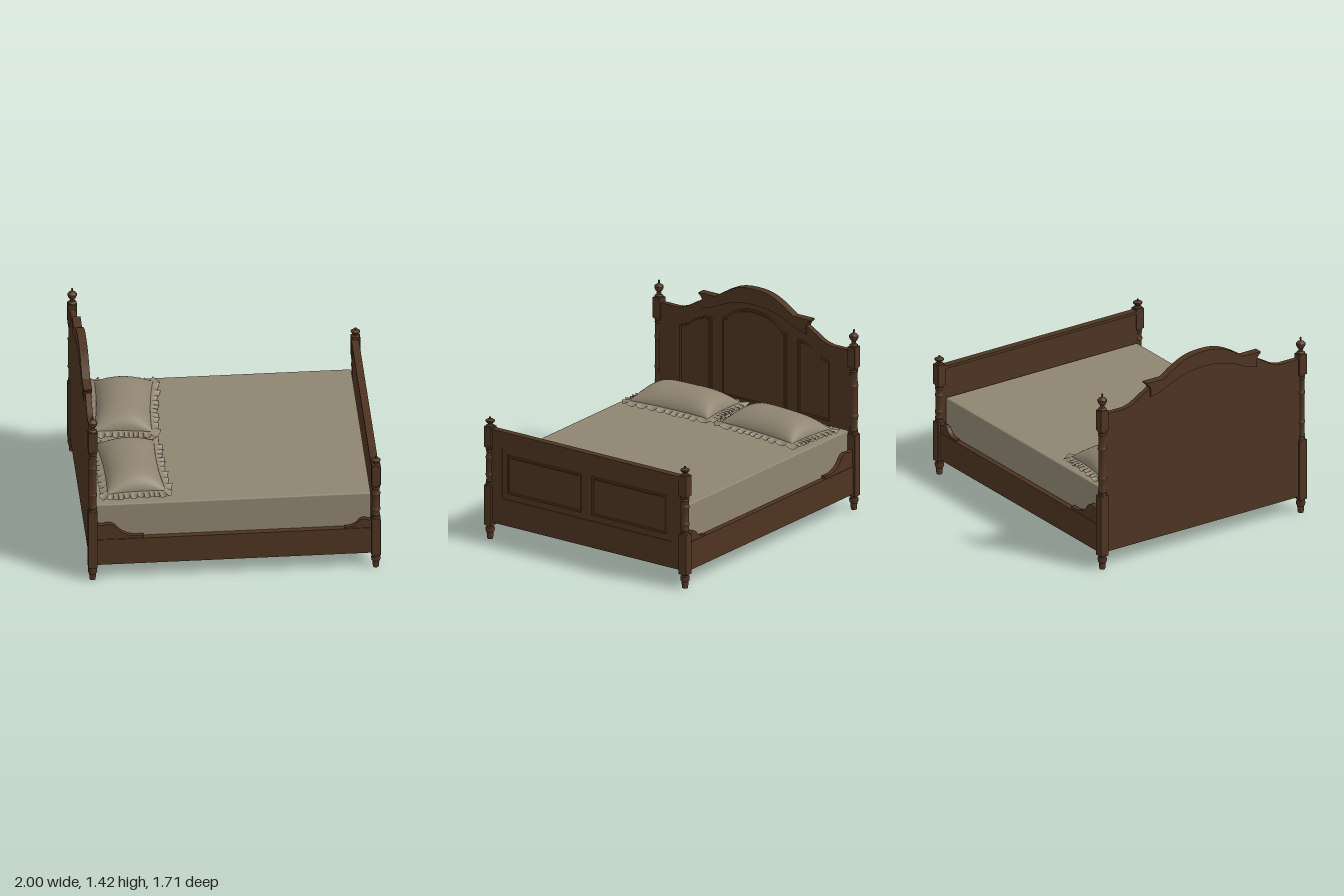
import * as THREE from 'three';
import { toCreasedNormals } from 'three/addons/utils/BufferGeometryUtils.js';
import { RoundedBoxGeometry } from 'three/addons/geometries/RoundedBoxGeometry.js';

export function createModel() {
  const model = new THREE.Group();
  model.name = 'bed';
  const wood = new THREE.MeshStandardMaterial({ color: 0x4e3421 });
  wood.name = 'dark wood';
  const linen = new THREE.MeshStandardMaterial({ color: 0x8f8471, side: THREE.DoubleSide });
  linen.name = 'linen';

  const add = (name, geo, mat, parent = model) => {
    const mesh = new THREE.Mesh(geo, mat);
    mesh.name = name;
    parent.add(mesh);
    return mesh;
  };
  const box = (name, x0, x1, y0, y1, z0, z1) =>
    add(name, new THREE.BoxGeometry(x1 - x0, y1 - y0, z1 - z0)
      .translate((x0 + x1) / 2, (y0 + y1) / 2, (z0 + z1) / 2), wood);
  const toShape = pts => new THREE.Shape(pts.map(p => new THREE.Vector2(p[0], p[1])));
  const extrude = (shape, depth) => toCreasedNormals(
    new THREE.ExtrudeGeometry(shape, { depth, bevelEnabled: false }), 0.5);
  // board drawn in the (z, y) plane, reaching from x0 to x1
  const board = (name, shape, x0, x1) =>
    add(name, extrude(shape, x1 - x0).rotateY(Math.PI / 2).translate(x0, 0, 0), wood);
  const smooth = (pts, n) => new THREE.CatmullRomCurve3(pts.map(p => new THREE.Vector3(p[0], p[1], 0)))
    .getPoints(n).map(p => [p.x, p.y]);
  const mirror = pts => [...pts, ...pts.map(p => [-p[0], p[1]]).reverse()];
  const inset = (pts, m) => {
    const b = new THREE.Box2().setFromPoints(pts.map(p => new THREE.Vector2(p[0], p[1])));
    const c = b.getCenter(new THREE.Vector2()), s = b.getSize(new THREE.Vector2());
    return pts.map(p => [c.x + (p[0] - c.x) * (1 - 2 * m / s.x), c.y + (p[1] - c.y) * (1 - 2 * m / s.y)]);
  };
  const ring = (outer, inner) => {
    const s = toShape(outer);
    s.holes.push(toShape(inner));
    return s;
  };
  // moulded frame with a slightly raised field
  const panel = (name, pts, x) => {
    board(name + 'Moulding', ring(pts, inset(pts, 0.014)), x, x + 0.01);
    board(name + 'Field', toShape(inset(pts, 0.02)), x, x + 0.005);
  };

  // Headboard
  const shoulder = smooth([[-0.65, 1.15], [-0.59, 1.165], [-0.52, 1.205], [-0.44, 1.25]], 12);
  const ear = [[-0.45, 1.27], [-0.47, 1.285], [-0.47, 1.297], [-0.33, 1.297]];
  const arch = smooth([[-0.33, 1.297], [-0.24, 1.355], [-0.15, 1.398], [-0.07, 1.416], [0, 1.42]], 16).slice(1);
  board('headboard', toShape(mirror([[-0.81, 0.125], [-0.81, 1.15], ...shoulder, ...ear, ...arch])), -0.985, -0.952);
  const innerArch = smooth([[-0.44, 1.19], [-0.36, 1.21], [-0.257, 1.257], [-0.13, 1.295], [0, 1.307]], 16);
  board('headboardCrown', toShape([
    ...mirror([innerArch[0], [-0.44, 1.25], ...ear, ...arch]),
    ...mirror(innerArch.slice(1)).reverse(),
  ]), -0.998, -0.941);
  const frame = mirror([[-0.68, 0.5], [-0.68, 1.07],
    ...smooth([[-0.62, 1.077], [-0.59, 1.11], [-0.55, 1.17], [-0.5, 1.185]], 10), ...innerArch]);
  const edge = mirror([[-0.81, 0.125], [-0.81, 1.15], ...shoulder, [-0.33, 1.297], ...arch]);
  board('headboardFrame', ring(edge, frame), -0.952, -0.945);
  panel('headboardCentrePanel', mirror([[-0.27, 0.6], [-0.27, 1.16],
    ...smooth([[-0.25, 1.165], [-0.17, 1.225], [-0.09, 1.257], [0, 1.265]], 14)]), -0.952);
  for (const s of [-1, 1]) {
    const pts = [[0.365, 0.6], [0.63, 0.6], [0.63, 1.03],
      ...smooth([[0.61, 1.035], [0.55, 1.06], [0.48, 1.11], [0.41, 1.135]], 10), [0.365, 1.135]];
    panel('headboardSidePanel', pts.map(p => [p[0] * s, p[1]]), -0.952);
  }

  // Footboard
  const rect = (a, b, c, d) => [[a, c], [b, c], [b, d], [a, d]];
  box('footboard', 0.945, 0.975, 0.125, 0.79, -0.81, 0.81);
  box('footboardCap', 0.937, 0.988, 0.782, 0.802, -0.81, 0.81);
  board('footboardFrame', ring(rect(-0.8, 0.8, 0.125, 0.785), rect(-0.715, 0.715, 0.315, 0.68)), 0.975, 0.982);
  for (const s of [-1, 1])
    panel('footboardPanel', rect(0.3575 * s - 0.3125, 0.3575 * s + 0.3125, 0.36, 0.64), 0.975);

  // Side rails with scrolled brackets
  const headScroll = smooth([[-0.94, 0.44], [-0.9, 0.432], [-0.86, 0.44], [-0.82, 0.425], [-0.78, 0.38],
    [-0.73, 0.35], [-0.68, 0.338], [-0.62, 0.34]], 24);
  const footScroll = smooth([[0.75, 0.33], [0.79, 0.332], [0.83, 0.35], [0.86, 0.382], [0.89, 0.39],
    [0.92, 0.38], [0.94, 0.388]], 20);
  for (const s of [-1, 1]) {
    box('sideRail', -0.95, 0.95, 0.12, 0.32, s * 0.822 - 0.02, s * 0.822 + 0.02);
    const bracket = (name, pts) =>
      add(name, extrude(toShape(pts), 0.03).translate(0, 0, s * 0.822 - 0.015), wood);
    bracket('headBracket', [[-0.94, 0.31], ...headScroll, [-0.62, 0.31]]);
    bracket('footBracket', [[0.75, 0.31], ...footScroll, [0.94, 0.31]]);
  }

  // Turned corner posts
  const lathe = pts => toCreasedNormals(
    new THREE.LatheGeometry(pts.map(p => new THREE.Vector2(p[0], p[1])), 18), 0.6);
  const post = (name, x, z, low, mid, high, top) => {
    const g = new THREE.Group();
    g.name = name;
    g.position.set(x, 0, z);
    model.add(g);
    const block = (y0, y1) => add('postBlock', new RoundedBoxGeometry(0.064, y1 - y0, 0.064, 1, 0.004)
      .translate(0, (y0 + y1) / 2, 0), wood, g);
    block(0.1, low);
    block(mid, high);
    add('postFoot', lathe([[0, 0], [0.02, 0], [0.024, 0.04], [0.022, 0.044], [0.03, 0.055], [0.032, 0.07],
      [0.03, 0.085], [0.022, 0.09], [0.028, 0.105]]), wood, g);
    const c = [[0.031, low - 0.01], [0.031, low + 0.012], [0.026, low + 0.018], [0.03, low + 0.03], [0.026, low + 0.04]];
    for (const f of [0.27, 0.72]) {
      const y = low + (mid - low) * f;
      c.push([0.027, y - 0.012], [0.031, y - 0.006], [0.031, y + 0.006], [0.027, y + 0.012]);
    }
    c.push([0.026, mid - 0.04], [0.03, mid - 0.03], [0.026, mid - 0.018], [0.031, mid - 0.012], [0.031, mid + 0.01]);
    add('postColumn', lathe(c), wood, g);
    add('postFinial', lathe([[0.03, -0.05], [0.03, 0.08], [0.016, 0.16], [0.015, 0.3], [0.024, 0.38], [0.032, 0.52],
      [0.032, 0.62], [0.024, 0.7], [0.012, 0.76], [0.006, 0.8], [0.007, 0.95], [0, 1]]
      .map(([r, f]) => [r, high + f * (top - high)])), wood, g);
  };
  for (const s of [-1, 1]) {
    post('headPost', -0.967, s * 0.824, 0.545, 1.03, 1.18, 1.305);
    post('footPost', 0.967, s * 0.824, 0.39, 0.665, 0.815, 0.882);
  }

  // Base and mattress
  box('bedBase', -0.955, 0.955, 0.185, 0.205, -0.805, 0.805);
  add('mattress', new RoundedBoxGeometry(1.88, 0.37, 1.59, 3, 0.01).translate(-0.005, 0.386, 0), linen);

  // Pillows with a wavy ruffle around the seam
  const halfX = 0.2, halfZ = 0.325, seam = 0.605;
  const outline = (u, v) => [halfX * u * (1 - 0.08 * (1 - v * v)), halfZ * v * (1 - 0.04 * (1 - u * u))];
  const cushion = height => {
    const geo = new THREE.PlaneGeometry(2, 2, 30, 30).rotateX(-Math.PI / 2);
    const p = geo.attributes.position;
    for (let i = 0; i < p.count; i++) {
      // closer spacing near the edges
      const u = Math.sin(p.getX(i) * Math.PI / 2), v = Math.sin(p.getZ(i) * Math.PI / 2), o = outline(u, v);
      const bulge = Math.pow(Math.max(0, 1 - u * u), 0.6) * Math.pow(Math.max(0, 1 - v ** 4), 0.6);
      p.setXYZ(i, o[0], height * bulge, o[1]);
    }
    geo.computeVertexNormals();
    return geo;
  };
  const pillow = (x, z, turn, phase) => {
    const g = new THREE.Group();
    g.name = 'pillow';
    g.position.set(x, seam, z);
    g.rotation.y = turn;
    model.add(g);
    add('pillowTop', cushion(0.117), linen, g);
    add('pillowUnderside', cushion(-0.03), linen, g);

    const N = 480, rows = 4, pos = [], idx = [];
    for (let i = 0; i <= N; i++) {
      const t = (i % N) / N * 4, side = Math.floor(t), k = (t - side) * 2 - 1;
      const [u, v] = [[k, -1], [1, k], [-k, 1], [-1, -k]][side];
      const o = outline(u, v), d = new THREE.Vector2(u ** 9, v ** 9).normalize();
      const a = (i % N) / N * Math.PI * 2;
      const fold = 42 * a + 2 * Math.sin(5 * a + phase);
      const wave = Math.sin(fold);
      const reach = 0.054 + 0.007 * Math.sin(17 * a + phase) + 0.005 * wave;
      for (let j = 0; j < rows; j++) {
        const f = j / (rows - 1), slide = 0.008 * f * Math.cos(fold);
        pos.push(o[0] + d.x * reach * f - d.y * slide, f * (0.011 * wave - 0.012),
          o[1] + d.y * reach * f + d.x * slide);
        if (i < N && j < rows - 1) {
          const n = i * rows + j;
          idx.push(n, n + rows, n + 1, n + 1, n + rows, n + rows + 1);
        }
      }
    }
    const ruffle = new THREE.BufferGeometry();
    ruffle.setAttribute('position', new THREE.Float32BufferAttribute(pos, 3));
    ruffle.setIndex(idx);
    ruffle.computeVertexNormals();
    add('pillowRuffle', ruffle, linen, g);
  };
  pillow(-0.655, -0.395, -0.09, 0.5);
  pillow(-0.67, 0.385, 0.04, 2.1);
  return model;
}
